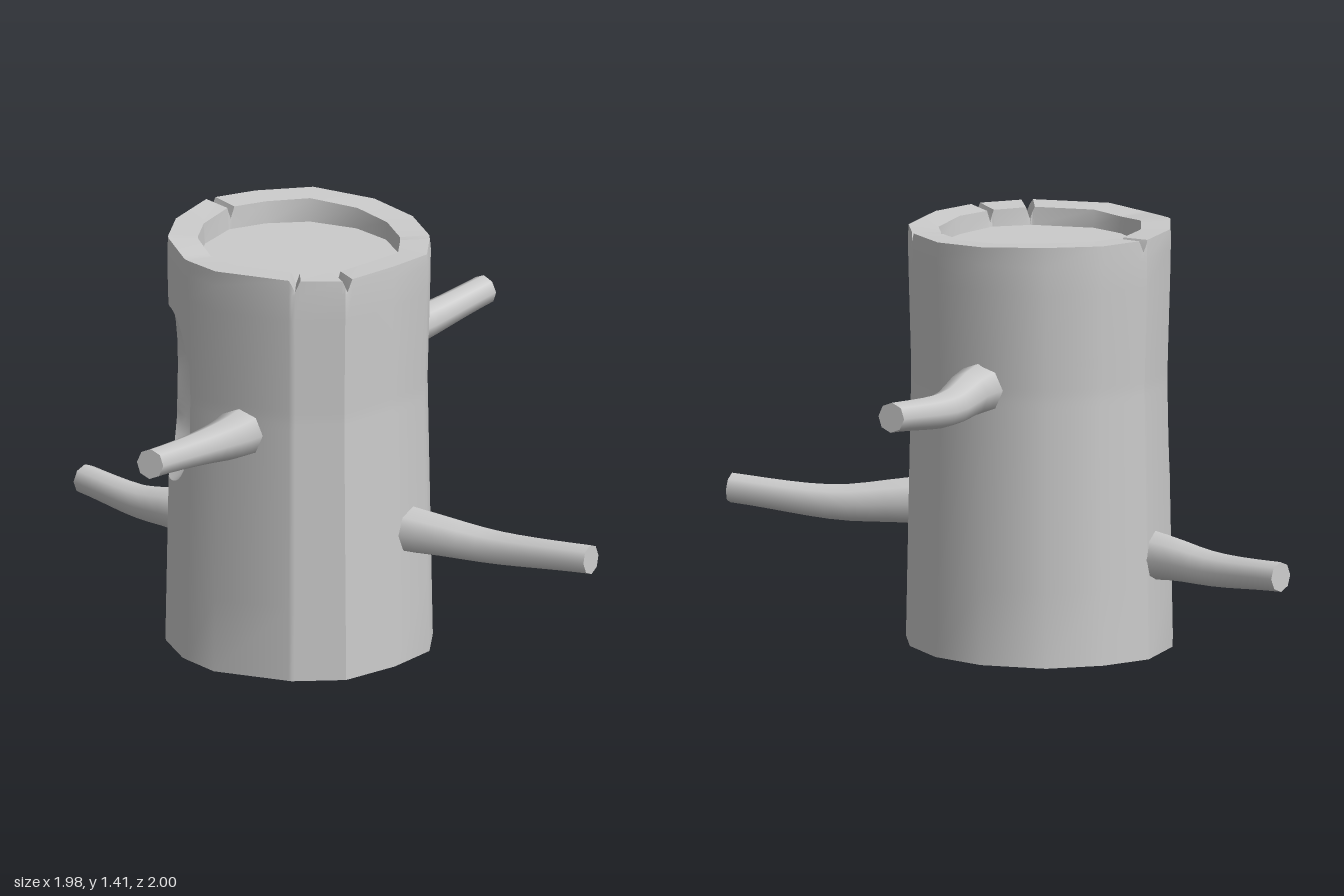
import * as THREE from 'three';
import { toCreasedNormals } from 'three/addons/utils/BufferGeometryUtils.js';

const CENTER = new THREE.Vector2(-0.085, -0.035);
// Trunk outline as [x, z], from the right side round by the front
const OUTLINE = [
  [-0.52, -0.03], [-0.48, 0.15], [-0.36, 0.3], [-0.22, 0.385], [0.05, 0.385], [0.21, 0.31], [0.31, 0.13],
  [0.36, -0.05], [0.31, -0.21], [0.19, -0.36], [0.02, -0.45], [-0.2, -0.46], [-0.37, -0.37], [-0.49, -0.24],
];
const RIM = [1.4, 1.4, 1.385, 1.39, 1.39, 1.385, 1.39, 1.38, 1.385, 1.39, 1.4, 1.41, 1.405, 1.405];
// Outline positions of the rim notches and of the hollow
const NOTCHES = [4.06, 5.05, 7.95, 12.93];
const HOLLOW = { from: 0.05, to: 2.1, y: 0.865, height: 0.3, depth: 0.13 };

const N = OUTLINE.length;
const { lerp, clamp } = THREE.MathUtils;

function outlineAt(s) {
  const i = Math.floor(s) % N, k = (i + 1) % N, t = s - Math.floor(s);
  return {
    x: lerp(OUTLINE[i][0], OUTLINE[k][0], t) - CENTER.x,
    z: lerp(OUTLINE[i][1], OUTLINE[k][1], t) - CENTER.y,
    rim: lerp(RIM[i], RIM[k], t),
  };
}

// Slight waist between the flared foot and rim
function flare(y) {
  return y < 0.9 ? lerp(1.015, 0.975, y / 0.9) : lerp(0.975, 1, clamp((y - 0.9) / 0.4, 0, 1));
}

// One column of the trunk: [scale, y] from the underside, up the bark, over the rim to the top
function column(s) {
  const { rim } = outlineAt(s);
  const u = clamp((2 * s - HOLLOW.from - HOLLOW.to) / (HOLLOW.to - HOLLOW.from), -1, 1);
  const h = HOLLOW.height * Math.sqrt(1 - 0.75 * u * u);
  const notch = Math.max(0, ...NOTCHES.map((n) => 1 - Math.abs(s - n) / 0.1));
  const top = rim - 0.04 * notch;
  const rows = [[0, 0.05], [0.9, 0.05], [0.9, 0], [flare(0), 0], [flare(0.25), 0.25]];
  for (let j = 0; j <= 14; j++) {
    const v = j / 7 - 1;
    const y = HOLLOW.y + v * h;
    const dent = HOLLOW.depth * Math.pow(Math.max(0, (1 - u * u) * (1 - v * v)), 0.6);
    rows.push([flare(y) - dent / 0.43, y]);
  }
  rows.push([flare(1.25), 1.25], [1, 1.34], [0.995, top], [0.77, top - 0.005], [0.76, 1.325], [0, 1.325]);
  return rows;
}

function trunkGeometry() {
  const stops = new Set();
  for (let i = 0; i < N; i++) if (i < HOLLOW.from || i > HOLLOW.to) stops.add(i);
  for (let i = 0; i <= 16; i++) stops.add(lerp(HOLLOW.from, HOLLOW.to, i / 16));
  for (const n of NOTCHES) [n - 0.1, n, n + 0.1].forEach((s) => stops.add(s));
  const cols = [...stops].sort((a, b) => a - b);
  const positions = [], index = [];
  let rows = 0;
  for (const s of cols) {
    const o = outlineAt(s), profile = column(s);
    rows = profile.length;
    for (const [k, y] of profile) positions.push(CENTER.x + o.x * k, y, CENTER.y + o.z * k);
  }
  for (let i = 0; i < cols.length; i++) {
    const a = i * rows, b = ((i + 1) % cols.length) * rows;
    for (let j = 0; j < rows - 1; j++) {
      if (j > 0) index.push(a + j, b + j, b + j + 1);
      if (j < rows - 2) index.push(a + j, b + j + 1, a + j + 1);
    }
  }
  const geometry = new THREE.BufferGeometry();
  geometry.setAttribute('position', new THREE.Float32BufferAttribute(positions, 3));
  geometry.setIndex(index);
  return toCreasedNormals(geometry, 0.6);
}

// Tapered, slightly bent branch with a flat sawn end
function makeBranch(name, points, baseRadius, tipRadius, material) {
  const SIDES = 8, STEPS = 10;
  const curve = new THREE.CatmullRomCurve3(points.map((p) => new THREE.Vector3(...p)));
  const tube = new THREE.TubeGeometry(curve, STEPS, 1, SIDES);
  const pos = tube.attributes.position, v = new THREE.Vector3();
  for (let i = 0; i < pos.count; i++) {
    const t = Math.floor(i / (SIDES + 1)) / STEPS;
    const c = curve.getPointAt(t);
    const r = lerp(tipRadius, baseRadius, (1 - t) ** 2);
    v.fromBufferAttribute(pos, i).sub(c).multiplyScalar(r).add(c);
    pos.setXYZ(i, v.x, v.y, v.z);
  }
  const group = new THREE.Group();
  group.name = name;
  const limb = new THREE.Mesh(tube, material);
  limb.name = name + 'Limb';
  // Sawn end, closing the last ring of the tube
  const ring = STEPS * (SIDES + 1), tip = curve.getPointAt(1), corners = [];
  const forward = curve.getTangentAt(1);
  for (let i = 0; i < SIDES; i++) {
    const a = new THREE.Vector3().fromBufferAttribute(pos, ring + i);
    const b = new THREE.Vector3().fromBufferAttribute(pos, ring + i + 1);
    const out = a.clone().sub(tip).cross(b.clone().sub(tip)).dot(forward) > 0;
    for (const p of out ? [tip, a, b] : [tip, b, a]) corners.push(p);
  }
  const cap = new THREE.BufferGeometry().setFromPoints(corners);
  cap.computeVertexNormals();
  const end = new THREE.Mesh(cap, material);
  end.name = name + 'End';
  group.add(limb, end);
  return group;
}

export function createModel() {
  const model = new THREE.Group();
  model.name = 'treeStump';
  const material = new THREE.MeshStandardMaterial({ color: 0xcccccc });

  const trunk = new THREE.Mesh(trunkGeometry(), material);
  trunk.name = 'trunk';
  model.add(trunk);

  model.add(
    makeBranch('frontBranch', [[-0.14, 0.83, 0.32], [-0.14, 0.84, 0.42], [-0.155, 0.87, 0.62], [-0.215, 0.92, 0.99]], 0.09, 0.05, material),
    makeBranch('leftBranch', [[0.3, 0.445, 0.02], [0.42, 0.435, 0.02], [0.62, 0.42, 0.025], [0.985, 0.44, 0.08]], 0.083, 0.05, material),
    makeBranch('backBranch', [[0.025, 0.92, -0.39], [0.05, 0.92, -0.5], [0.085, 0.9, -0.66], [0.2, 0.93, -0.985]], 0.09, 0.05, material),
    makeBranch('rightBranch', [[-0.44, 0.335, -0.14], [-0.56, 0.33, -0.185], [-0.72, 0.315, -0.25], [-0.97, 0.325, -0.37]], 0.09, 0.05, material),
  );
  return model;
}
